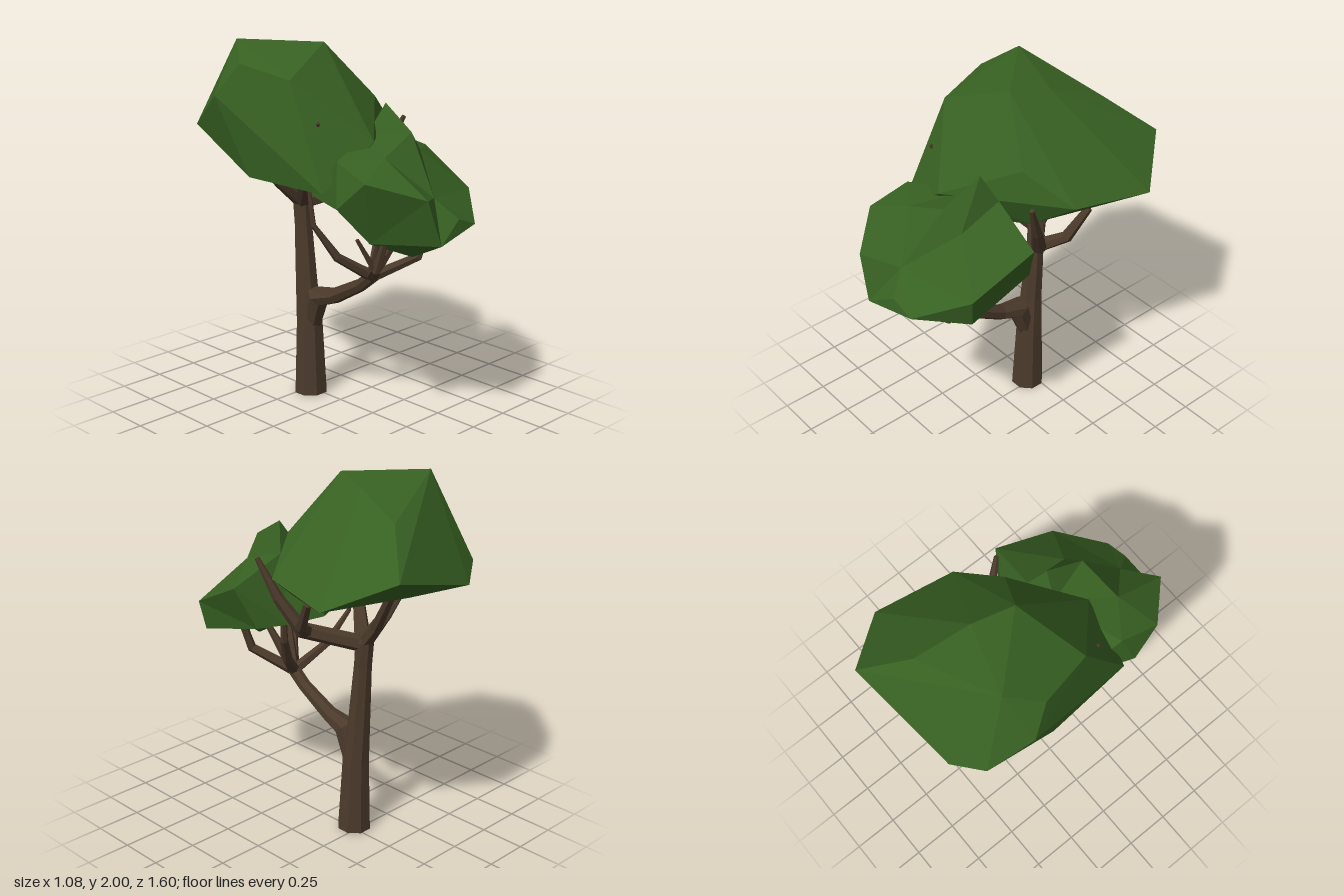
import * as THREE from 'three';
import { ConvexGeometry } from 'three/addons/geometries/ConvexGeometry.js';

const bark = new THREE.MeshStandardMaterial({ color: 0x4b3a2b });
bark.name = 'bark brown';
const leaf = new THREE.MeshStandardMaterial({ color: 0x376022 });
leaf.name = 'leaf green';

const UP = new THREE.Vector3(0, 1, 0);
const vec = (p) => new THREE.Vector3(p[0], p[1], p[2]);

// Tapered faceted limb: each node is [x, y, z, radius]
function limb(name, nodes, sides = 6) {
  const pts = nodes.map(vec);
  const last = pts.length - 1;
  const rings = pts.map((p, i) => {
    const dir = pts[Math.min(i + 1, last)].clone().sub(pts[Math.max(i - 1, 0)]).normalize();
    const q = new THREE.Quaternion().setFromUnitVectors(UP, dir);
    return { p, q, r: nodes[i][3] };
  });
  // zero-radius rings close both ends
  rings.unshift({ ...rings[0], r: 0 });
  rings.push({ ...rings[rings.length - 1], r: 0 });

  const pos = [], index = [];
  rings.forEach(({ p, q, r }, i) => {
    for (let j = 0; j < sides; j++) {
      const a = ((j + 0.5) / sides) * Math.PI * 2;
      const v = new THREE.Vector3(Math.cos(a) * r, 0, Math.sin(a) * r).applyQuaternion(q).add(p);
      pos.push(v.x, v.y, v.z);
      if (i === rings.length - 1) continue;
      const k = (j + 1) % sides;
      const a0 = i * sides + j, b0 = i * sides + k, a1 = a0 + sides, b1 = b0 + sides;
      index.push(a0, a1, b0, b0, a1, b1);
    }
  });
  const indexed = new THREE.BufferGeometry();
  indexed.setAttribute('position', new THREE.Float32BufferAttribute(pos, 3));
  indexed.setIndex(index);
  const geo = indexed.toNonIndexed();
  geo.computeVertexNormals();
  const mesh = new THREE.Mesh(geo, bark);
  mesh.name = name;
  return mesh;
}

// Star-shaped faceted crown: wrap a hull round the directions, then push corners out to the points
function foliage(name, centre, corners) {
  const c = vec(centre);
  const pts = corners.map(vec);
  const dirs = pts.map((p) => p.clone().sub(c).normalize());
  const geo = new ConvexGeometry(dirs);
  const at = geo.attributes.position;
  const v = new THREE.Vector3();
  for (let i = 0; i < at.count; i++) {
    v.fromBufferAttribute(at, i);
    let best = 0;
    dirs.forEach((d, k) => {
      if (d.distanceToSquared(v) < dirs[best].distanceToSquared(v)) best = k;
    });
    at.setXYZ(i, pts[best].x, pts[best].y, pts[best].z);
  }
  geo.computeVertexNormals();
  const mesh = new THREE.Mesh(geo, leaf);
  mesh.name = name;
  return mesh;
}

export function createModel() {
  const tree = new THREE.Group();
  tree.name = 'tree';

  // Trunk and the long low limb
  tree.add(limb('trunk', [
    [-0.025, 0, -0.212, 0.094], [-0.025, 0.42, -0.22, 0.076], [-0.03, 0.62, -0.235, 0.064],
    [-0.03, 0.98, -0.26, 0.05], [-0.03, 1.12, -0.27, 0.052], [-0.03, 1.17, -0.28, 0.032],
  ], 8));
  tree.add(limb('lowLimb', [
    [-0.025, 0.4, -0.2, 0.052], [-0.03, 0.58, -0.14, 0.066], [-0.03, 0.615, -0.01, 0.044],
    [-0.03, 0.72, 0.18, 0.036], [-0.03, 0.81, 0.29, 0.036],
  ], 7));

  // Branches fanning from the end of the low limb
  const lowFork = [-0.03, 0.79, 0.27, 0.032];
  const lowBranches = [
    [[-0.23, 0.92, 0.49, 0.026], [-0.22, 1.12, 0.55, 0.017]],
    [[0.11, 0.91, 0.46, 0.026], [0.19, 1.18, 0.5, 0.017]],
    [[-0.22, 0.92, 0.2, 0.024], [-0.33, 1.1, 0.14, 0.014], [-0.34, 1.28, 0.12, 0.01]],
    [[0.1, 0.92, 0.18, 0.027], [0.17, 1.06, 0.13, 0.022], [0.2, 1.3, 0.1, 0.012]],
    [[-0.12, 1.08, 0.42, 0.015]],
    [[0.05, 1.08, 0.42, 0.015]],
  ];
  lowBranches.forEach((b, i) => tree.add(limb('lowBranch' + (i + 1), [lowFork, ...b])));
  tree.add(limb('lowTwigLeft', [[-0.23, 0.91, 0.48, 0.018], [-0.33, 1.09, 0.45, 0.01]], 5));
  tree.add(limb('lowTwigRight', [[0.12, 0.95, 0.46, 0.016], [0.08, 1.08, 0.56, 0.01]], 5));

  // Branches from the trunk top into the high crown
  const highFork = [-0.03, 1.1, -0.26, 0.046];
  const highBranches = [
    [[0.22, 1.19, -0.06, 0.044], [0.3, 1.36, 0.03, 0.03], [0.36, 1.57, 0.12, 0.013]],
    [[-0.02, 1.22, -0.36, 0.034], [0.04, 1.46, -0.52, 0.024]],
    [[-0.18, 1.23, -0.28, 0.034], [-0.33, 1.4, -0.3, 0.022]],
    [[-0.2, 1.32, -0.05, 0.028], [-0.345, 1.64, 0.195, 0.009]],
  ];
  highBranches.forEach((b, i) => tree.add(limb('highBranch' + (i + 1), [highFork, ...b])));
  tree.add(limb('highSideBranch', [[0.2, 1.18, -0.07, 0.04], [0.32, 1.26, -0.16, 0.032], [0.37, 1.42, -0.26, 0.02]]));

  // High crown: a convex boulder with a sloping underside
  const high = new THREE.Mesh(new ConvexGeometry([
    [-0.35, 2, -0.41], [-0.04, 1.985, -0.08], [0.03, 1.95, -0.29], [0.1, 1.84, -0.58],
    [0.3, 1.64, -0.8], [0.54, 1.49, -0.52], [0.45, 1.53, -0.09], [0.206, 1.69, 0.05],
    [-0.4, 1.84, 0.05], [-0.47, 1.9, -0.25], [-0.54, 1.73, -0.37], [-0.47, 1.54, -0.61],
    [-0.31, 1.47, -0.72], [-0.47, 1.32, -0.19], [-0.43, 1.31, 0.31], [-0.36, 1.29, 0.34],
    [-0.1, 1.53, 0.34], [0.22, 1.36, 0], [0, 1.45, -0.6],
  ].map(vec)), leaf);
  high.name = 'highCrown';
  tree.add(high);

  // Low crown: a ridged, uneven clump with a stepped front
  tree.add(foliage('lowCrown', [0.02, 1.26, 0.38], [
    [-0.36, 1.47, 0.34], [-0.39, 1.4, 0.56], [-0.18, 1.32, 0.78], [-0.1, 1.08, 0.8],
    [0.07, 1.18, 0.765], [0.2, 1.13, 0.76], [0, 1.28, 0.66], [0.38, 1.08, 0.52],
    [0.41, 1.24, 0.54], [0.46, 1.41, 0.19], [0.17, 1.46, 0.41], [0.07, 1.57, 0.44],
    [0.1, 1.69, 0.23], [0.16, 1.54, 0.16], [-0.17, 1.48, 0.48], [0, 1.54, 0.2],
    [-0.01, 0.95, 0.53], [-0.42, 1.25, 0.4], [-0.29, 1.07, 0.5], [0.36, 1.18, 0.13],
    [0.2, 1.18, 0.06], [0.02, 1.2, -0.02], [-0.3, 1.25, 0.08], [0, 1.42, 0.02],
    [0.18, 1.13, 0.43], [-0.1, 1.12, 0.25],
  ]));

  return tree;
}
